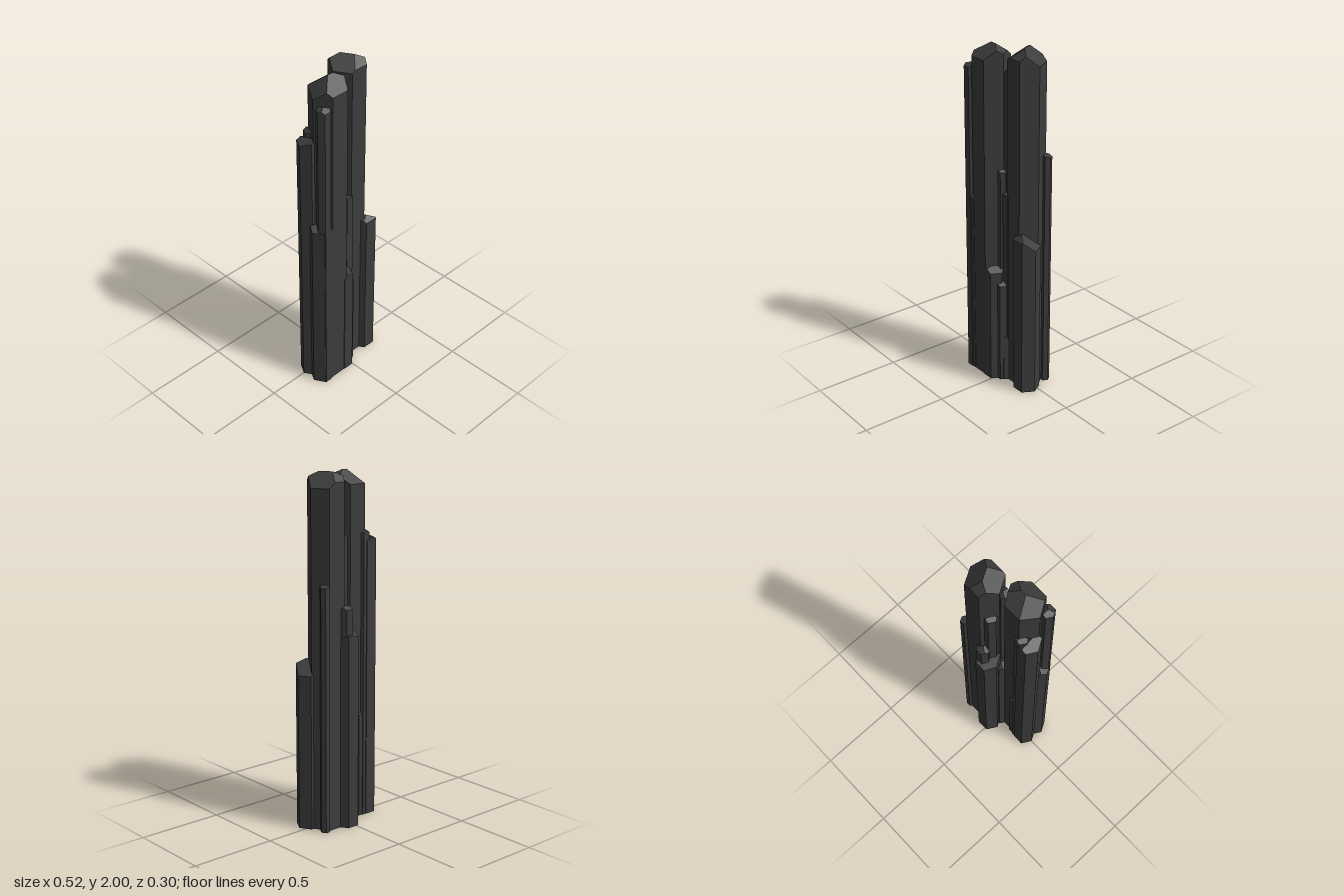
import * as THREE from 'three';
import { ConvexGeometry } from 'three/addons/geometries/ConvexGeometry.js';

// A plane whose normal leans outward along an azimuth (degrees from +x towards +z)
function leaningPlane(azimuth, rise, slope, d) {
  const a = THREE.MathUtils.degToRad(azimuth);
  return { n: new THREE.Vector3(slope * Math.cos(a), rise, slope * Math.sin(a)), d };
}

// Tip facet: its height on the crystal's axis, falling away along the azimuth
const facet = (azimuth, height, slope) => leaningPlane(azimuth, 1, slope, height);

// Three equal facets meeting at a point
const point = (height, turn) => [0, 120, 240].map((a) => facet(a + turn, height, 0.65));

// Two facets meeting in a ridge
const ridge = (height, turn) => [facet(turn, height, 0.4), facet(turn + 120, height, 0.5)];

// A hexagonal column cut by its tip facets, found from the corners the planes share
function crystalGeometry(radius, tip) {
  const planes = [leaningPlane(0, -1, 0, 0), ...tip];
  for (let k = 0; k < 6; k++) {
    planes.push(leaningPlane(30 + 60 * k, 0, 1, radius * Math.cos(Math.PI / 6)));
  }

  const corners = [];
  planes.forEach((a, i) => planes.slice(0, i).forEach((b, j) => planes.slice(0, j).forEach((c) => {
    const p = b.n.clone().cross(c.n);
    const det = a.n.dot(p);
    if (Math.abs(det) < 1e-6) return;
    p.multiplyScalar(a.d)
      .addScaledVector(c.n.clone().cross(a.n), b.d)
      .addScaledVector(a.n.clone().cross(b.n), c.d)
      .divideScalar(det);
    const inside = planes.every(({ n, d }) => n.dot(p) <= d + 1e-6);
    if (inside && !corners.some((q) => q.distanceTo(p) < 1e-4)) corners.push(p);
  })));
  return new ConvexGeometry(corners);
}

export function createModel() {
  const model = new THREE.Group();
  model.name = 'crystalCluster';
  const material = new THREE.MeshStandardMaterial({ color: 0x3c3c3c });

  function grow(name, x, z, radius, tip) {
    const mesh = new THREE.Mesh(crystalGeometry(radius, tip), material);
    mesh.name = name;
    mesh.position.set(x, 0, z);
    model.add(mesh);
  }

  // Two tall main columns
  grow('tallLeftCrystal', -0.105, 0.052, 0.106,
    [facet(90, 1.99, 0.8), facet(270, 1.99, 0.8), facet(195, 1.99, 1), facet(345, 2.01, 0.6)]);
  grow('tallRightCrystal', 0.108, -0.021, 0.105,
    [facet(330, 2, 0.9), facet(150, 2, 0.7), facet(90, 2.03, 0.9), facet(270, 2.03, 0.9)]);

  // Right side
  grow('lowRightCrystal', 0.187, 0.035, 0.075,
    [facet(330, 0.95, 0.9), facet(150, 0.98, 0.4), facet(90, 1, 0.9)]);
  grow('slimRightCrystal', 0.185, -0.1, 0.028, [facet(330, 1.4, 0.3)]);

  // Back group
  grow('backCrystal', 0.022, -0.093, 0.07, ridge(1.13, 240));
  grow('backInnerCrystal', 0.042, -0.105, 0.04, point(1.28, 30));
  grow('backHighCrystal', 0.035, -0.055, 0.042, point(1.67, 330));
  grow('backGapCrystal', -0.02, -0.033, 0.04, point(1.02, 270));

  // Left group
  grow('leftBackCrystal', -0.195, 0, 0.066, ridge(1.63, 210));
  grow('leftInnerCrystal', -0.16, -0.02, 0.04, point(1.67, 210));
  grow('leftBackStub', -0.13, -0.02, 0.036, point(0.63, 270));
  grow('leftHighCrystal', -0.2, 0.115, 0.04, point(1.87, 90));
  grow('leftFrontCrystal', -0.19, 0.085, 0.07, point(1.13, 30));

  // Front group in the gap between the tall columns
  grow('frontLowCrystal', -0.035, 0.091, 0.064, point(0.72, 30));
  grow('frontStub', 0.02, 0.078, 0.038, point(0.63, 30));
  grow('frontShortStub', 0.038, 0.072, 0.026, point(0.29, 90));
  grow('frontMiddleCrystal', 0.042, 0.038, 0.043, [facet(90, 1.17, 0.2)]);
  grow('frontThinCrystal', -0.008, 0.055, 0.03, point(1.3, 30));
  grow('frontHighCrystal', 0.022, 0.02, 0.036, point(1.87, 150));

  return model;
}
